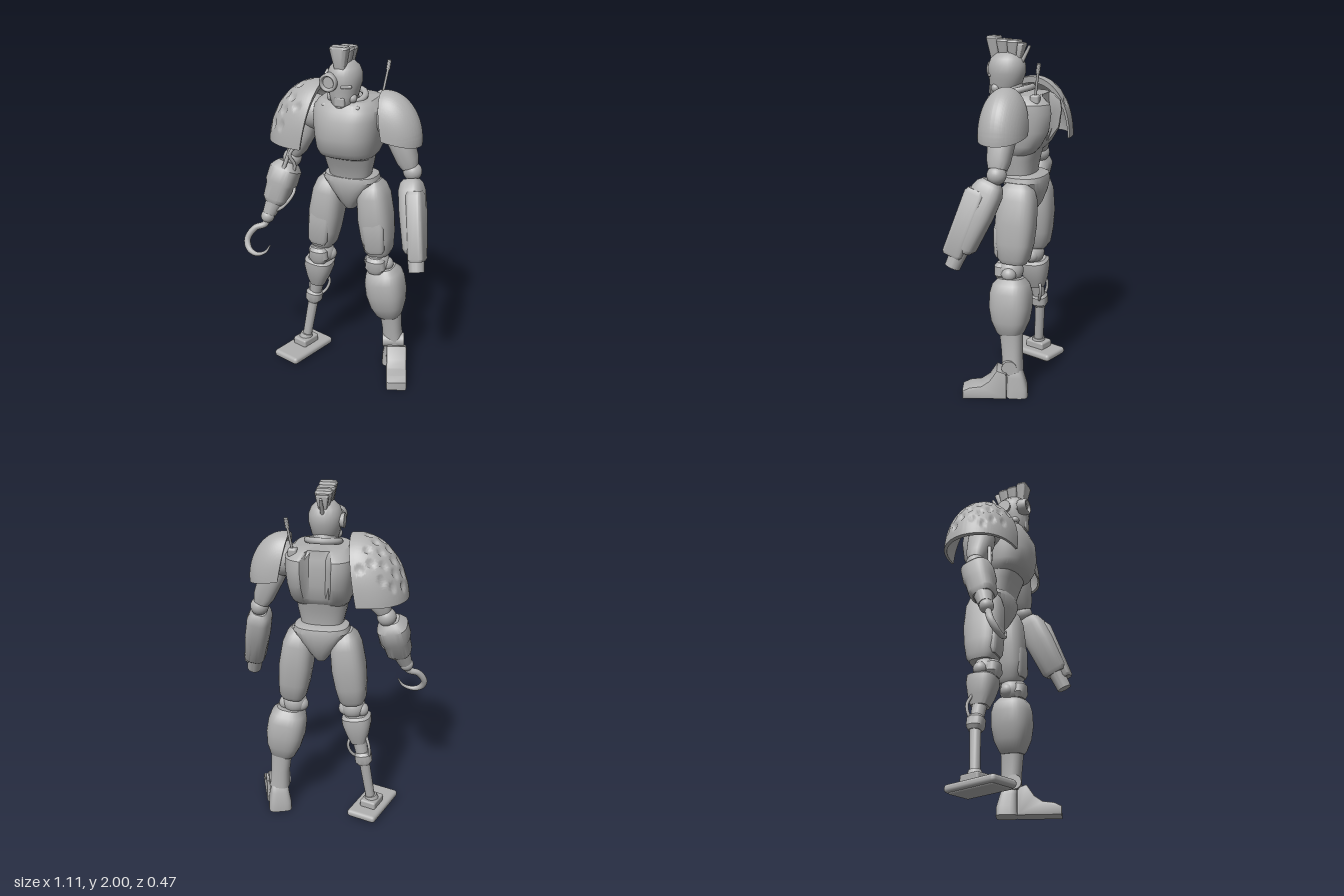
import * as THREE from 'three';
import { toCreasedNormals } from 'three/addons/utils/BufferGeometryUtils.js';
import { RoundedBoxGeometry } from 'three/addons/geometries/RoundedBoxGeometry.js';

const V = (p) => new THREE.Vector3(...p);
const UP = new THREE.Vector3(0, 1, 0);
const spow = (v, e) => Math.sign(v) * Math.abs(v) ** e;

// Skin closed rings of points, with flat end caps
function loft(rings, crease = 0.6) {
  const n = rings[0].length, pos = [], idx = [];
  rings.forEach((r) => r.forEach((p) => pos.push(...p)));
  for (let i = 0; i < rings.length - 1; i++) for (let j = 0; j < n; j++) {
    const a = i * n + j, b = i * n + (j + 1) % n;
    idx.push(a, a + n, b, b, a + n, b + n);
  }
  const last = (rings.length - 1) * n;
  for (const [base, flip] of [[0, false], [last, true]]) {
    const c = pos.length / 3, m = new THREE.Vector3();
    rings[base / n].forEach((p) => m.add(V(p)));
    pos.push(...m.divideScalar(n).toArray());
    for (let j = 0; j < n; j++) {
      const a = base + j, b = base + (j + 1) % n;
      idx.push(c, flip ? b : a, flip ? a : b);
    }
  }
  const g = new THREE.BufferGeometry();
  g.setAttribute('position', new THREE.Float32BufferAttribute(pos, 3));
  g.setIndex(idx);
  return toCreasedNormals(g, crease);
}

// Superellipse cross-section at height y
function section(y, hx, hz, power = 2, cx = 0, cz = 0, n = 28) {
  return Array.from({ length: n }, (_, i) => {
    const a = ((i + 0.5) / n) * Math.PI * 2;
    return [cx + hx * spow(Math.cos(a), 2 / power), y, cz + hz * spow(Math.sin(a), 2 / power)];
  });
}

export function createModel() {
  const model = new THREE.Group();
  const grey = new THREE.MeshStandardMaterial({ color: 0xb0b0b0 });
  grey.name = 'grey';

  const add = (name, geo, at = [0, 0, 0], rot = [0, 0, 0], parent = model) => {
    const m = new THREE.Mesh(geo, grey);
    m.name = name;
    m.position.set(...at);
    m.rotation.set(...rot);
    parent.add(m);
    return m;
  };
  // Lofted limb from low point p0 to high point p1; sections are [t, hx, hz]
  const limb = (name, p0, p1, secs, power = 2.6) => {
    const d = V(p1).sub(V(p0)), len = d.length();
    const m = add(name, loft(secs.map(([t, hx, hz]) => section(t * len, hx, hz, power))), p0);
    m.quaternion.setFromUnitVectors(UP, d.normalize());
    return m;
  };
  const rod = (name, p0, p1, r, r1 = r) => limb(name, p0, p1, [[0, r, r], [1, r1, r1]], 2);
  const ball = (name, at, r) => add(name, new THREE.SphereGeometry(r, 24, 16), at);
  const box = (name, size, at, rot, r = 0.012) =>
    add(name, new RoundedBoxGeometry(...size, 2, Math.min(r, Math.min(...size) * 0.45)), at, rot);
  const cable = (name, pts, r) =>
    add(name, new THREE.TubeGeometry(new THREE.CatmullRomCurve3(pts.map(V)), 24, r, 8));

  // Torso: tapered chest, two square back lobes with a flat channel between them
  const torso = [
    [1.365, 0.142, 0.1, 0.12, 0], [1.385, 0.16, 0.145, 0.15, 0.05], [1.42, 0.172, 0.172, 0.185, 0.12],
    [1.5, 0.182, 0.188, 0.232, 0.24], [1.6, 0.192, 0.178, 0.243, 0.25], [1.65, 0.19, 0.155, 0.235, 0.25],
    [1.685, 0.165, 0.135, 0.2, 0.15], [1.697, 0.148, 0.115, 0.17, 0],
  ];
  add('torso', loft(torso.map(([y, hx, zf, zb, notch]) => section(y, hx, 1, 2.7, 0.035, 0, 64).map(([x, h, z]) =>
    [x, h, z > 0 ? zf * z ** 1.15 : spow(z, 0.6) * zb * (1 - notch * (1 - THREE.MathUtils.smoothstep(Math.abs(x - 0.035), 0.05, 0.09)))])), 0.5));
  limb('waist', [0.035, 1.2, -0.035], [0.035, 1.38, -0.02],
    [[0, 0.115, 0.08], [0.3, 0.122, 0.085], [0.7, 0.138, 0.105], [1, 0.145, 0.125]]);
  limb('pelvis', [0.033, 1.03, -0.06], [0.033, 1.25, -0.06],
    [[0, 0.03, 0.055], [0.22, 0.065, 0.09], [0.55, 0.12, 0.115], [0.82, 0.16, 0.122], [0.95, 0.153, 0.115], [1, 0.13, 0.095]]);
  box('chestCollar', [0.22, 0.025, 0.03], [0.035, 1.672, 0.115], [-0.5, 0, 0]);

  // Neck, head and face
  rod('neck', [0.035, 1.66, 0.01], [0.035, 1.76, 0.045], 0.065);
  add('collar', new THREE.TorusGeometry(0.09, 0.018, 10, 32), [0.035, 1.705, 0.0], [Math.PI / 2 + 0.25, 0, 0]);
  const skull = [[1.67, 0.04, 0.05, 0.095], [1.69, 0.062, 0.072, 0.08], [1.735, 0.078, 0.09, 0.064], [1.765, 0.084, 0.096, 0.06],
    [1.8, 0.093, 0.104, 0.056], [1.845, 0.092, 0.104, 0.056], [1.88, 0.078, 0.09, 0.056], [1.908, 0.048, 0.06, 0.056], [1.92, 0.015, 0.02, 0.056]];
  add('head', loft(skull.map(([y, hx, hz, cz]) => section(y, hx, hz, 2.2, 0.035, cz)), 0.8));
  box('mouthGuard', [0.06, 0.055, 0.04], [0.04, 1.705, 0.135]);
  box('eyeRidge', [0.06, 0.02, 0.03], [0.075, 1.79, 0.138], [0, 0.4, 0]);
  for (const s of [-1, 1]) ball('cheek', [0.035 + s * 0.06, 1.72, 0.1], 0.026);
  add('earDisc', new THREE.CylinderGeometry(0.042, 0.036, 0.03, 24), [-0.06, 1.81, 0.045], [0, 0, Math.PI / 2]);
  const rim = [[0.046, 0], [0.05, 0.008], [0.05, 0.05], [0.044, 0.056], [0.036, 0.056], [0.03, 0.035]];
  add('monocle', new THREE.LatheGeometry(rim.map(([r, h]) => new THREE.Vector2(r, h)), 28), [-0.015, 1.81, 0.126], [Math.PI / 2, 0, 0]);
  add('monocleLens', new THREE.CylinderGeometry(0.034, 0.034, 0.05, 24), [-0.015, 1.81, 0.14], [Math.PI / 2, 0, 0]);

  // Crest of flaring blocks, front to back
  for (const [z, top, lean, w, d] of [[0.12, 2.0, 0.012, 0.05, 0.033], [0.068, 1.985, 0.002, 0.052, 0.034],
    [0.018, 1.98, -0.008, 0.048, 0.033], [-0.012, 1.965, -0.02, 0.036, 0.02]]) {
    const low = section(1.87, w * 0.55, d * 0.65, 6, 0.035, z);
    add('crestBlock', loft([low, section(top - 0.012, w, d, 6, 0.035, z + lean), section(top, w * 0.88, d * 0.85, 6, 0.035, z + lean)]));
  }
  rod('crestSpike', [0.035, 1.86, -0.03], [0.035, 1.95, -0.078], 0.012, 0.008);

  // Antenna
  box('antennaBase', [0.05, 0.05, 0.05], [0.17, 1.68, -0.16]);
  rod('antenna', [0.172, 1.69, -0.16], [0.193, 1.83, -0.183], 0.007);
  rod('antennaTip', [0.192, 1.82, -0.181], [0.197, 1.872, -0.19], 0.011);

  // Thick quarter-dome shoulder shell, optionally covered in round dents
  const pauldron = (name, [rx, ry, rz], low, dents, at, rot) => {
    const pits = Array.from({ length: dents }, (_, i) => {
      const z = -0.88 + 1.76 * (i + 0.5) / dents, a = Math.PI * (0.58 + 0.38 * ((i * 0.618) % 1)), r = Math.sqrt(1 - z * z);
      return new THREE.Vector3(r * Math.cos(a), r * Math.sin(a), z);
    });
    const rings = [], W = 90, U = 60;
    for (let i = 0; i <= W; i++) {
      const f = (i / W - 0.5) * Math.PI * 0.998, outer = [], inner = [];
      const z = Math.sin(f), r = Math.cos(f), q = r ** 0.8 / r;
      for (let j = 0; j <= U; j++) {
        const a = THREE.MathUtils.degToRad(low + (86 - low) * j / U), p = new THREE.Vector3(r * Math.cos(a), r * Math.sin(a), z);
        let pit = 0;
        for (const c of pits) pit = Math.max(pit, 1 - (p.distanceTo(c) / 0.1) ** 2);
        const k = 1 - 0.042 * pit;
        outer.push([p.x * q * k * rx, p.y * q * k * ry, z * k * rz]);
        inner.push([p.x * q * 0.9 * rx, p.y * q * 0.9 * ry, z * 0.94 * rz]);
      }
      rings.push([...outer, ...inner.reverse()]);
    }
    return add(name, loft(rings, 0.7), at, rot);
  };
  pauldron('rightPauldron', [0.262, 0.355, 0.212], 184, 28, [-0.185, 1.415, -0.03], [0, 0, -0.12]);
  pauldron('leftPauldron', [0.188, 0.25, 0.132], 194, 0, [0.262, 1.5, -0.022], [0, Math.PI, -0.12]);
  ball('rightShoulderJoint', [-0.18, 1.58, -0.03], 0.1);
  ball('leftShoulderJoint', [0.26, 1.6, -0.03], 0.1);

  // Left arm with forearm cannon
  limb('leftUpperArm', [0.388, 1.33, -0.03], [0.28, 1.6, -0.03], [[0, 0.045, 0.05], [0.15, 0.06, 0.062], [0.7, 0.075, 0.078], [1, 0.06, 0.06]]);
  ball('leftElbow', [0.402, 1.305, -0.03], 0.053);
  limb('leftForearm', [0.49, 0.9, 0.145], [0.405, 1.27, -0.005],
    [[0, 0.05, 0.06], [0.06, 0.062, 0.078], [0.55, 0.07, 0.088], [0.85, 0.068, 0.085], [0.95, 0.058, 0.07], [1, 0.04, 0.05]], 3.2);
  limb('cannonHousing', [0.515, 0.87, 0.18], [0.45, 1.23, 0.06], [[0, 0.036, 0.05], [0.04, 0.045, 0.058], [0.94, 0.045, 0.058], [1, 0.036, 0.045]], 5);
  rod('cannonMuzzle', [0.513, 0.805, 0.185], [0.485, 0.93, 0.135], 0.043, 0.05);

  // Right arm with pistons, cables and hook
  limb('rightUpperArm', [-0.312, 1.32, -0.02], [-0.2, 1.58, -0.02], [[0, 0.042, 0.045], [0.15, 0.06, 0.06], [0.6, 0.074, 0.074], [1, 0.06, 0.06]]);
  ball('rightElbow', [-0.325, 1.29, -0.015], 0.055);
  limb('rightForearm', [-0.4, 1.03, 0.075], [-0.345, 1.27, 0],
    [[0, 0.055, 0.055], [0.1, 0.072, 0.073], [0.42, 0.078, 0.078], [0.5, 0.088, 0.086], [0.82, 0.088, 0.086], [0.92, 0.07, 0.07], [1, 0.05, 0.05]], 3);
  rod('rightWrist', [-0.428, 0.965, 0.1], [-0.4, 1.05, 0.07], 0.04, 0.055);
  ball('hookMount', [-0.435, 0.95, 0.108], 0.04);
  rod('armPiston', [-0.36, 1.18, 0.09], [-0.29, 1.4, 0.055], 0.012);
  cable('armCable', [[-0.24, 1.42, 0.03], [-0.3, 1.34, 0.07], [-0.28, 1.27, 0.05], [-0.3, 1.2, 0.05]], 0.01);
  cable('armCable', [[-0.31, 1.15, 0.0], [-0.29, 1.1, 0.05], [-0.34, 1.02, 0.09], [-0.4, 0.98, 0.1]], 0.01);
  const hookPath = new THREE.CatmullRomCurve3([[-0.435, 0.95, 0.11], [-0.445, 0.905, 0.125], [-0.5, 0.88, 0.15],
    [-0.537, 0.815, 0.18], [-0.515, 0.762, 0.203], [-0.465, 0.743, 0.213], [-0.41, 0.762, 0.206], [-0.378, 0.81, 0.195]].map(V));
  const hook = new THREE.TubeGeometry(hookPath, 48, 0.019, 12), hp = hook.attributes.position, v = new THREE.Vector3();
  for (let i = 0; i < hp.count; i++) {
    const t = Math.floor(i / 13) / 48, c = hookPath.getPointAt(t);
    v.fromBufferAttribute(hp, i).sub(c).multiplyScalar(Math.min(1, 1.8 * (1.03 - t) + 0.15)).add(c);
    hp.setXYZ(i, v.x, v.y, v.z);
  }
  add('hook', hook);

  // Thighs and knees
  const thigh = [[0, 0.062, 0.07], [0.06, 0.078, 0.088], [0.25, 0.09, 0.104], [0.5, 0.097, 0.113], [0.8, 0.088, 0.108], [0.93, 0.07, 0.09], [1, 0.045, 0.06]];
  for (const [side, s, k, h] of [['right', -1, -0.15, -0.095], ['left', 1, 0.21, 0.158]]) {
    limb(side + 'Thigh', [k, 0.76, -0.05], [h, 1.21, -0.058], thigh, 3);
    limb(side + 'ThighPlate', [k, 0.79, 0.025], [h + s * 0.03, 1.06, 0.025], [[0, 0.045, 0.02], [0.1, 0.06, 0.03], [0.6, 0.065, 0.035], [1, 0.035, 0.015]], 4);
    ball(side + 'Knee', [k - s * 0.004, 0.715, -0.03], 0.073);
    limb(side + 'KneeCap', [k, 0.66, 0.015], [k, 0.76, 0.015], [[0, 0.04, 0.03], [0.3, 0.06, 0.045], [0.8, 0.055, 0.045], [1, 0.035, 0.03]], 2.4);
    for (const e of [-1, 1]) ball(side + 'KneeHub', [k + e * 0.047, 0.705, -0.04], 0.042);
  }

  // Left lower leg and foot
  limb('leftShin', [0.28, 0.355, -0.058], [0.235, 0.68, -0.045],
    [[0, 0.06, 0.062], [0.05, 0.076, 0.075], [0.25, 0.1, 0.104], [0.5, 0.114, 0.117], [0.75, 0.112, 0.114], [0.9, 0.1, 0.1], [1, 0.07, 0.07]], 2.8);
  limb('leftAnkle', [0.3, 0.15, -0.08], [0.285, 0.37, -0.065], [[0, 0.062, 0.058], [0.5, 0.055, 0.058], [1, 0.062, 0.064]]);
  const foot = new THREE.Group();
  foot.name = 'leftFoot';
  foot.position.set(0.343, 0, -0.015);
  foot.rotation.y = 0.35;
  model.add(foot);
  const toeShape = new THREE.Shape([[-0.03, 0.01], [0.2, 0.01], [0.2, 0.045], [0.165, 0.062], [0.1, 0.07], [0.05, 0.105],
    [0.01, 0.165], [-0.03, 0.15]].map((p) => new THREE.Vector2(...p)));
  const toe = new THREE.ExtrudeGeometry(toeShape, { depth: 0.1, bevelSize: 0.01, bevelThickness: 0.01, bevelSegments: 2 });
  add('toe', toCreasedNormals(toe.translate(0, 0, -0.05), 0.5), [0, 0, 0], [0, -Math.PI / 2, 0], foot);
  add('heel', loft([[0, 0.07, 0.062, -0.1], [0.05, 0.068, 0.06, -0.1], [0.12, 0.056, 0.05, -0.09], [0.16, 0.052, 0.045, -0.08], [0.185, 0.035, 0.03, -0.075]]
    .map(([y, hx, hz, cz]) => section(y, hx, hz, 4, -0.015, cz))), [0, 0, 0], [0, 0, 0], foot);
  add('anklePin', new THREE.CylinderGeometry(0.042, 0.042, 0.13, 20), [-0.02, 0.185, -0.055], [0, 0, Math.PI / 2], foot);

  // Right peg leg
  limb('pegSocket', [-0.185, 0.49, -0.045], [-0.165, 0.67, -0.035],
    [[0, 0.045, 0.05], [0.3, 0.065, 0.07], [0.7, 0.085, 0.085], [0.92, 0.085, 0.085], [1, 0.065, 0.07]], 2.8);
  rod('pegUpper', [-0.215, 0.38, -0.055], [-0.183, 0.52, -0.045], 0.035, 0.042);
  limb('pegJoint', [-0.222, 0.345, -0.055], [-0.21, 0.43, -0.053], [[0, 0.035, 0.035], [0.25, 0.05, 0.048], [0.8, 0.05, 0.048], [1, 0.036, 0.036]]);
  rod('peg', [-0.268, 0.05, -0.03], [-0.22, 0.37, -0.055], 0.027, 0.031);
  for (const s of [-1, 1])
    cable('pegCable', [[-0.19 + s * 0.04, 0.55, -0.07], [-0.19 + s * 0.062, 0.49, -0.09], [-0.2 + s * 0.055, 0.43, -0.08], [-0.212 + s * 0.03, 0.39, -0.06]], 0.009);
  box('pegFootPlate', [0.185, 0.045, 0.35], [-0.27, 0.03, 0], [0, -0.3, 0], 0.02);
  box('pegFootTread', [0.15, 0.02, 0.31], [-0.27, 0.01, 0], [0, -0.3, 0]);
  box('pegFootMount', [0.1, 0.05, 0.13], [-0.268, 0.07, -0.03], [0, -0.3, 0]);
  rod('pegFootCollar', [-0.268, 0.08, -0.03], [-0.262, 0.115, -0.033], 0.045, 0.035);

  return model;
}
